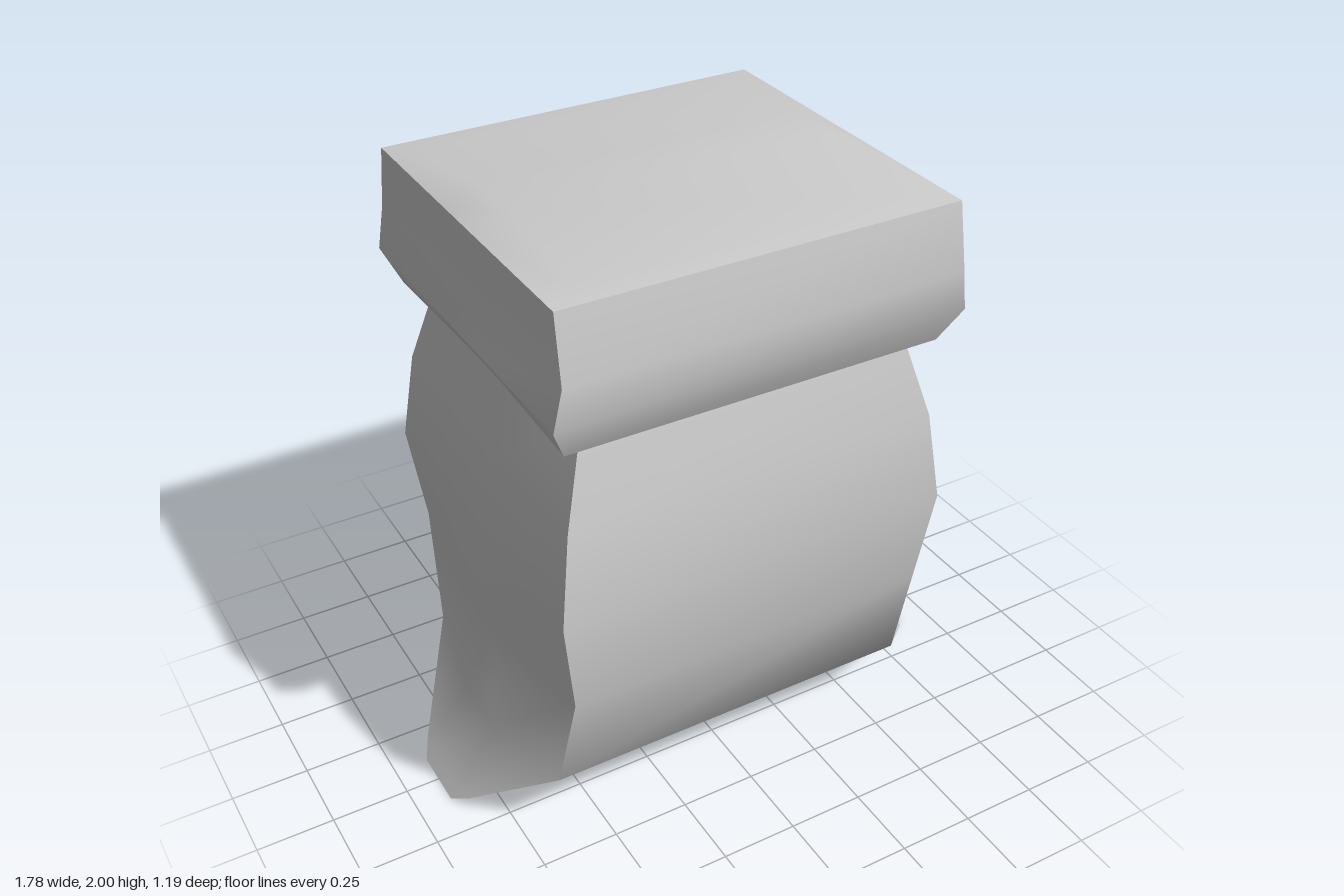
import * as THREE from 'three';
import { toCreasedNormals } from 'three/addons/utils/BufferGeometryUtils.js';

// Eight-point ring: four corners plus two middle points on each x side.
// Row: [corner y, left x, right x, corner z, middle y, left middle x, right middle x, middle z]
function ring([y, xl, xr, z, my, ml, mr, mz = 0.1]) {
  return [
    [xr, y, z], [mr, my, mz], [mr, my, -mz], [xr, y, -z],
    [xl, y, -z], [ml, my, -mz], [ml, my, mz], [xl, y, z],
  ];
}

// Skins the rings from bottom to top and closes both ends.
function loft(rows) {
  const rings = rows.map(ring);
  const pos = [];
  const quad = (a, b, c, d) => pos.push(...a, ...b, ...c, ...a, ...c, ...d);
  for (let i = 0; i < rings.length - 1; i++) {
    for (let j = 0; j < 8; j++) {
      const k = (j + 1) % 8;
      quad(rings[i][j], rings[i][k], rings[i + 1][k], rings[i + 1][j]);
    }
  }
  const bottom = rings[0], top = rings[rings.length - 1];
  for (let j = 0; j < 3; j++) {
    quad(top[j], top[j + 1], top[6 - j], top[7 - j]);
    quad(bottom[7 - j], bottom[6 - j], bottom[j + 1], bottom[j]);
  }
  const geometry = new THREE.BufferGeometry();
  geometry.setAttribute('position', new THREE.Float32BufferAttribute(pos, 3));
  return toCreasedNormals(geometry, 0.7);
}

export function createModel() {
  const group = new THREE.Group();
  const material = new THREE.MeshStandardMaterial({ color: 0xcccccc });
  const add = (name, rows) => {
    const mesh = new THREE.Mesh(loft(rows), material);
    mesh.name = name;
    group.add(mesh);
  };

  // Bulging body that flares into a wide, thin foot
  add('body', [
    [0, -0.89, 0.89, 0.1, 0, -0.89, 0.89, 0.09],
    [0.04, -0.855, 0.845, 0.165, 0.035, -0.865, 0.852],
    [0.27, -0.66, 0.58, 0.445, 0.235, -0.725, 0.635],
    [0.64, -0.64, 0.56, 0.54, 0.64, -0.7, 0.615],
    [0.96, -0.68, 0.6, 0.57, 0.97, -0.72, 0.63],
    [1.25, -0.64, 0.56, 0.54, 1.27, -0.67, 0.59],
    [1.51, -0.565, 0.485, 0.48, 1.51, -0.6, 0.515],
  ]);

  // Overhanging cap with a shallow ridged top
  add('cap', [
    [1.51, -0.64, 0.555, 0.54, 1.5, -0.62, 0.54],
    [1.62, -0.69, 0.607, 0.59, 1.62, -0.69, 0.607],
    [1.75, -0.664, 0.584, 0.597, 1.75, -0.664, 0.584],
    [1.95, -0.66, 0.58, 0.56, 1.95, -0.66, 0.58],
    [1.958, -0.57, 0.49, 0.49, 2, -0.56, 0.48],
  ]);

  return group;
}
